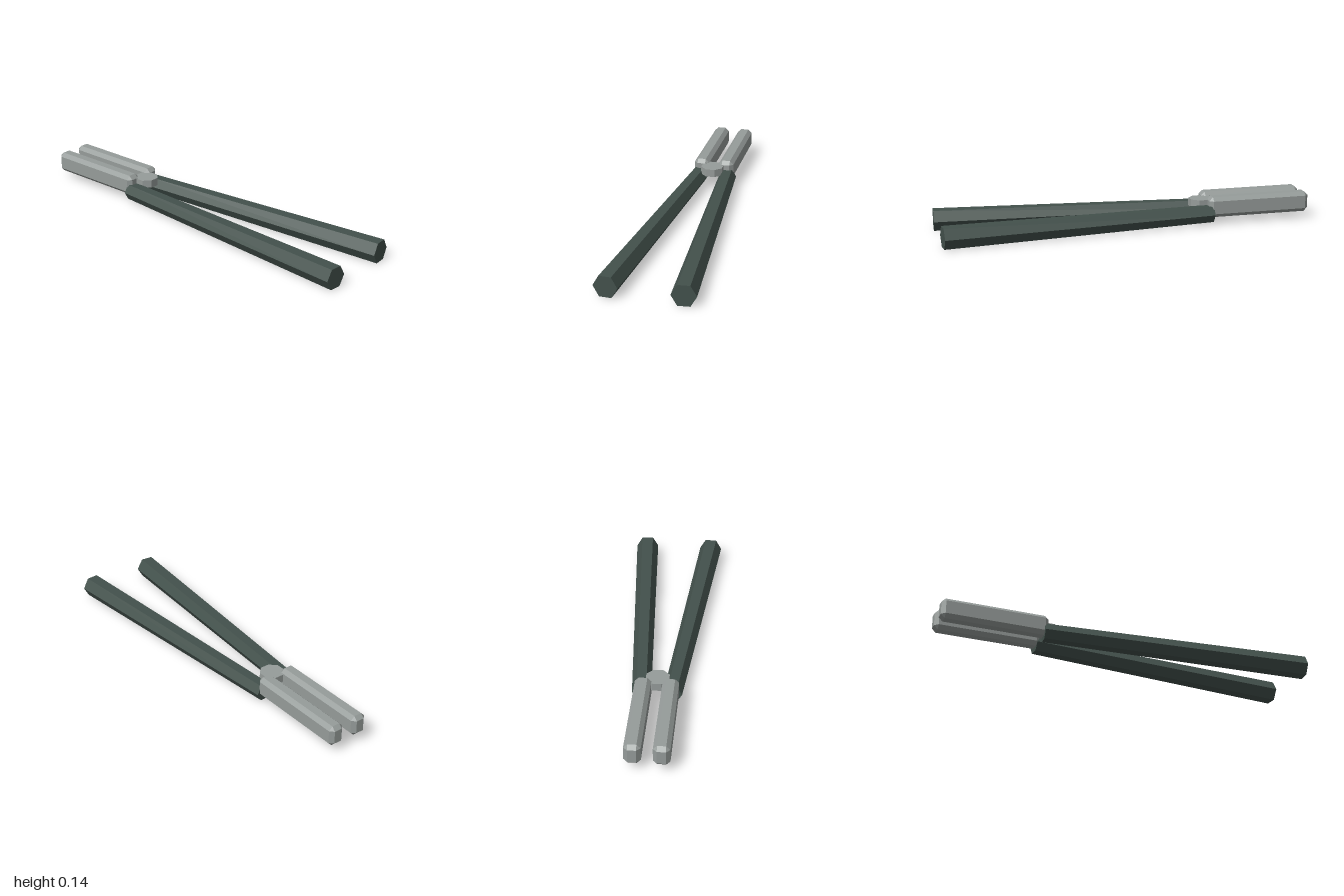
import * as THREE from 'three';
import { ConvexGeometry } from 'three/addons/geometries/ConvexGeometry.js';

// Box with every edge cut at 45 degrees
function chamferBox(w, h, d, c) {
  const points = [];
  const [x, y, z] = [w / 2, h / 2, d / 2];
  for (const sx of [-1, 1]) for (const sy of [-1, 1]) for (const sz of [-1, 1]) {
    points.push(
      new THREE.Vector3(sx * x, sy * (y - c), sz * (z - c)),
      new THREE.Vector3(sx * (x - c), sy * y, sz * (z - c)),
      new THREE.Vector3(sx * (x - c), sy * (y - c), sz * z)
    );
  }
  return new ConvexGeometry(points);
}

export function createModel() {
  const group = new THREE.Group();
  const grip = new THREE.MeshStandardMaterial({ color: 0x43514c, flatShading: true });
  grip.name = 'dark green grip';
  const metal = new THREE.MeshStandardMaterial({ color: 0x969c9a, flatShading: true });
  metal.name = 'grey metal';

  const add = (name, geometry, material, x, y, z) => {
    const mesh = new THREE.Mesh(geometry, material);
    mesh.name = name;
    mesh.position.set(x, y, z);
    group.add(mesh);
    return mesh;
  };

  // Tapered six-sided handle, laid along z with a corner to each side
  const back = new THREE.Vector2(0.078, -0.458);
  const front = new THREE.Vector2(0.1885, 0.995);
  const run = front.clone().sub(back);
  const mid = front.clone().add(back).multiplyScalar(0.5);
  const handle = new THREE.CylinderGeometry(0.062, 0.0485, run.length(), 6)
    .rotateY(Math.PI / 2)
    .rotateX(Math.PI / 2);

  // Blade with cut edges
  const blade = chamferBox(0.083, 0.109, 0.563, 0.02);

  for (const [side, s] of [['left', 1], ['right', -1]]) {
    add(side + 'Handle', handle, grip, s * mid.x, 0.055, mid.y)
      .rotation.y = s * Math.atan2(run.x, run.y);
    add(side + 'Blade', blade, metal, s * 0.0695, 0.0915, -0.7185);
  }

  // Eight-sided pivot between the handles
  const pivot = new THREE.CylinderGeometry(0.064, 0.064, 0.042, 8).rotateY(Math.PI / 8);
  add('pivot', pivot, metal, 0, 0.104, -0.416);

  return group;
}
